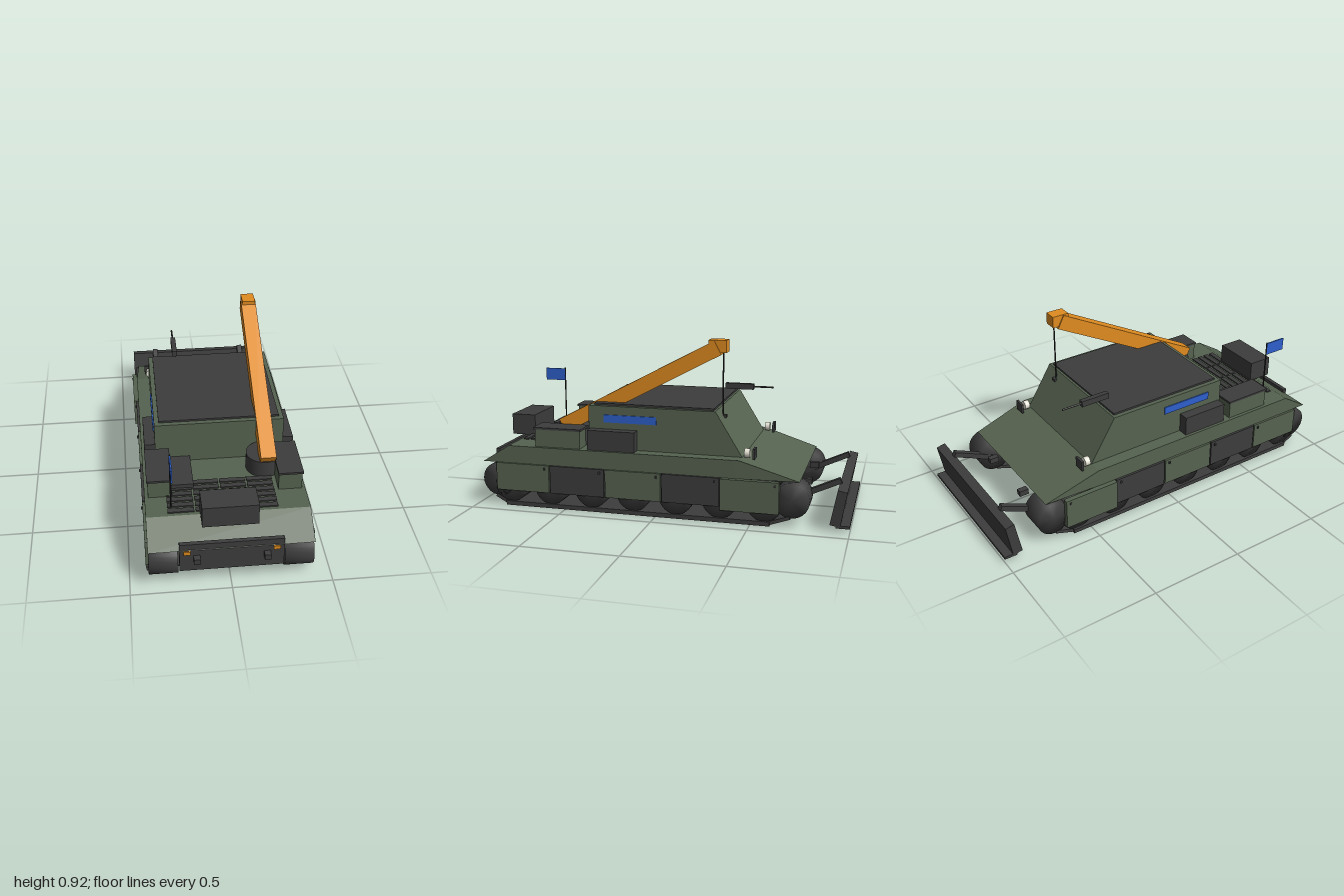
import * as THREE from 'three';
import { mergeVertices } from 'three/addons/utils/BufferGeometryUtils.js';

const mat = (name, color) => {
  const m = new THREE.MeshStandardMaterial({ color });
  m.name = name;
  return m;
};

export function createModel() {
  const root = new THREE.Group();
  root.name = 'recoveryVehicle';
  const green = mat('olive green', 0x566350);
  const dark = mat('dark grey', 0x3d3d3d);
  const black = mat('cable black', 0x262626);
  const orange = mat('crane orange', 0xe08c20);
  const blue = mat('marking blue', 0x2d60cc);
  const white = mat('lamp white', 0xe6e4d6);

  const add = (name, geo, m, x = 0, y = 0, z = 0) => {
    const mesh = new THREE.Mesh(geo, m);
    mesh.name = name;
    mesh.position.set(x, y, z);
    root.add(mesh);
    return mesh;
  };
  // Box given by its limits on each axis
  const box = (name, m, x0, x1, y0, y1, z0, z1) =>
    add(name, new THREE.BoxGeometry(x1 - x0, y1 - y0, z1 - z0), m,
      (x0 + x1) / 2, (y0 + y1) / 2, (z0 + z1) / 2);
  // The same box on both sides
  const pair = (name, m, x0, x1, ...r) => {
    box(name + 'Left', m, x0, x1, ...r);
    box(name + 'Right', m, -x1, -x0, ...r);
  };
  // Side profile of [z, y] points, extruded across x
  const profile = (name, m, pts, x0, x1) => {
    const shape = new THREE.Shape(pts.map(([z, y]) => new THREE.Vector2(-z, y)));
    const geo = new THREE.ExtrudeGeometry(shape, { depth: x1 - x0, bevelEnabled: false });
    geo.rotateY(Math.PI / 2);
    return add(name, geo, m, x0, 0, 0);
  };
  // Square beam between two [z, y] points
  const beam = (name, m, x, w, t, a, b) => {
    const dz = b[0] - a[0], dy = b[1] - a[1];
    const mesh = add(name, new THREE.BoxGeometry(w, t, Math.hypot(dz, dy)), m,
      x, (a[1] + b[1]) / 2, (a[0] + b[0]) / 2);
    mesh.rotation.x = -Math.atan2(dy, dz);
    return mesh;
  };

  // Hull, narrowing slightly at the rear lip
  const hull = profile('upperHull', green,
    [[0.97, 0.235], [0.82, 0.33], [-0.42, 0.33], [-0.42, 0.235]], -0.405, 0.405);
  const rear = profile('rearDeck', green,
    [[-0.42, 0.235], [-0.42, 0.33], [-0.44, 0.33], [-0.745, 0.235]], -0.405, 0.405);
  const p = rear.geometry.attributes.position;
  for (let i = 0; i < p.count; i++) {
    if (p.getZ(i) < -0.7) p.setX(i, p.getX(i) < 0.4 ? 0.015 : 0.795);
  }
  rear.geometry.computeVertexNormals();
  hull.add(rear);
  rear.position.set(0, 0, 0);
  box('bellyPlate', dark, -0.415, 0.415, 0.016, 0.024, -0.6, 0.84);
  box('frontPanel', dark, -0.255, 0.255, 0.105, 0.27, 0.945, 0.967);
  pair('frontLamp', orange, 0.202, 0.234, 0.21, 0.23, 0.966, 0.975);
  pair('frontTowHook', dark, 0.155, 0.187, 0.17, 0.2, 0.96, 1.0);
  pair('rearTowHook', dark, 0.155, 0.187, 0.17, 0.2, -0.785, -0.735);

  // Wheels shaded softly over their rims
  let wheelGeo = new THREE.CylinderGeometry(0.091, 0.091, 0.143, 28);
  wheelGeo.deleteAttribute('normal');
  wheelGeo.deleteAttribute('uv');
  wheelGeo = mergeVertices(wheelGeo);
  wheelGeo.computeVertexNormals();
  wheelGeo.rotateZ(Math.PI / 2);

  // Running gear
  for (const s of [1, -1]) {
    for (const z of [0.882, -0.708]) add('endWheel', wheelGeo, dark, s * 0.333, 0.14, z);
    for (let i = 0; i < 7; i++) add('roadWheel', wheelGeo, dark, s * 0.333, 0.112, 0.81 - i * 0.23);
    box('trackRun', dark, s * 0.338 - 0.075, s * 0.338 + 0.075, 0, 0.02, -0.6, 0.84);
    beam('frontTrackRise', dark, s * 0.335, 0.14, 0.018, [0.83, 0.012], [0.9, 0.05]);
    beam('rearTrackRise', dark, s * 0.335, 0.14, 0.018, [-0.59, 0.012], [-0.7, 0.05]);
  }

  // Side skirts in alternating colours, the last one standing proud
  for (let i = 0; i < 5; i++) {
    const z = 0.89 - i * 0.309;
    const last = i === 4;
    pair('skirt', i % 2 ? dark : green, 0.403, last ? 0.43 : 0.417,
      last ? 0.07 : 0.085, 0.235, z - 0.302, z);
    pair('skirtHinge', dark, 0.41, last ? 0.434 : 0.424, 0.21, 0.222, z - 0.283, z - 0.273);
  }

  // Superstructure
  profile('cabin', green,
    [[0.385, 0.325], [0.385, 0.56], [-0.3, 0.56], [-0.445, 0.325]], -0.335, 0.335);
  box('roofPlate', dark, -0.312, 0.312, 0.556, 0.57, -0.288, 0.36);
  pair('sideMarking', blue, 0.333, 0.341, 0.473, 0.514, 0.013, 0.3);

  // Stowage
  pair('stowageBin', green, 0.268, 0.387, 0.325, 0.427, 0.42, 0.672);
  pair('binLid', dark, 0.265, 0.392, 0.425, 0.436, 0.413, 0.68);
  pair('sideBox', dark, 0.33, 0.39, 0.33, 0.437, 0.118, 0.376);
  box('frontBox', dark, -0.14, 0.135, 0.33, 0.445, 0.78, 0.917);
  box('flatBox', dark, -0.295, -0.155, 0.325, 0.358, 0.38, 0.62);

  // Engine grille
  for (let r = 0; r < 6; r++) {
    for (let c = 0; c < 4; c++) {
      const x = -0.297 + c * 0.138, z = 0.563 + r * 0.042;
      box('grilleSlat', dark, x, x + 0.13, 0.325, 0.337, z, z + 0.028);
    }
  }

  // Crane
  add('craneBase', new THREE.CylinderGeometry(0.092, 0.092, 0.095, 28), dark, 0.22, 0.375, 0.475);
  beam('craneBoom', orange, 0.23, 0.08, 0.08, [0.56, 0.425], [-0.295, 0.878]);
  box('craneHead', orange, 0.196, 0.266, 0.853, 0.917, -0.34, -0.246);
  add('craneCable', new THREE.CylinderGeometry(0.004, 0.004, 0.34, 8), black, 0.23, 0.69, -0.318);
  box('craneHook', dark, 0.217, 0.243, 0.51, 0.527, -0.338, -0.312);

  // Flag
  add('flagPole', new THREE.CylinderGeometry(0.004, 0.004, 0.325, 8), black, -0.278, 0.49, 0.757);
  box('flag', blue, -0.2815, -0.2735, 0.578, 0.648, 0.757, 0.877);

  // Roof gun
  box('gunBody', dark, -0.2, -0.173, 0.59, 0.622, -0.407, -0.247);
  const barrel = add('gunBarrel', new THREE.CylinderGeometry(0.005, 0.005, 0.12, 10), dark,
    -0.187, 0.606, -0.457);
  barrel.rotation.x = Math.PI / 2;

  // Rear lamps with guard plates
  for (const s of [1, -1]) {
    const lamp = add('rearLamp', new THREE.CylinderGeometry(0.024, 0.024, 0.028, 18), white,
      s * 0.325, 0.353, -0.468);
    lamp.rotation.x = Math.PI / 2;
    box('lampGuard', dark, s * 0.325 - 0.031, s * 0.325 + 0.031, 0.325, 0.38, -0.51, -0.498);
  }

  // Dozer blade
  for (const s of [1, -1]) beam('bladeArm', dark, s * 0.275, 0.03, 0.028, [-0.7, 0.12], [-0.94, 0.23]);
  profile('blade', dark, [[-0.935, 0.215], [-0.9, 0.035], [-0.952, 0.025], [-0.983, 0.205]],
    -0.415, 0.415);
  box('bladeEdge', dark, -0.415, 0.415, 0.02, 0.034, -1.0, -0.93);

  return root;
}
